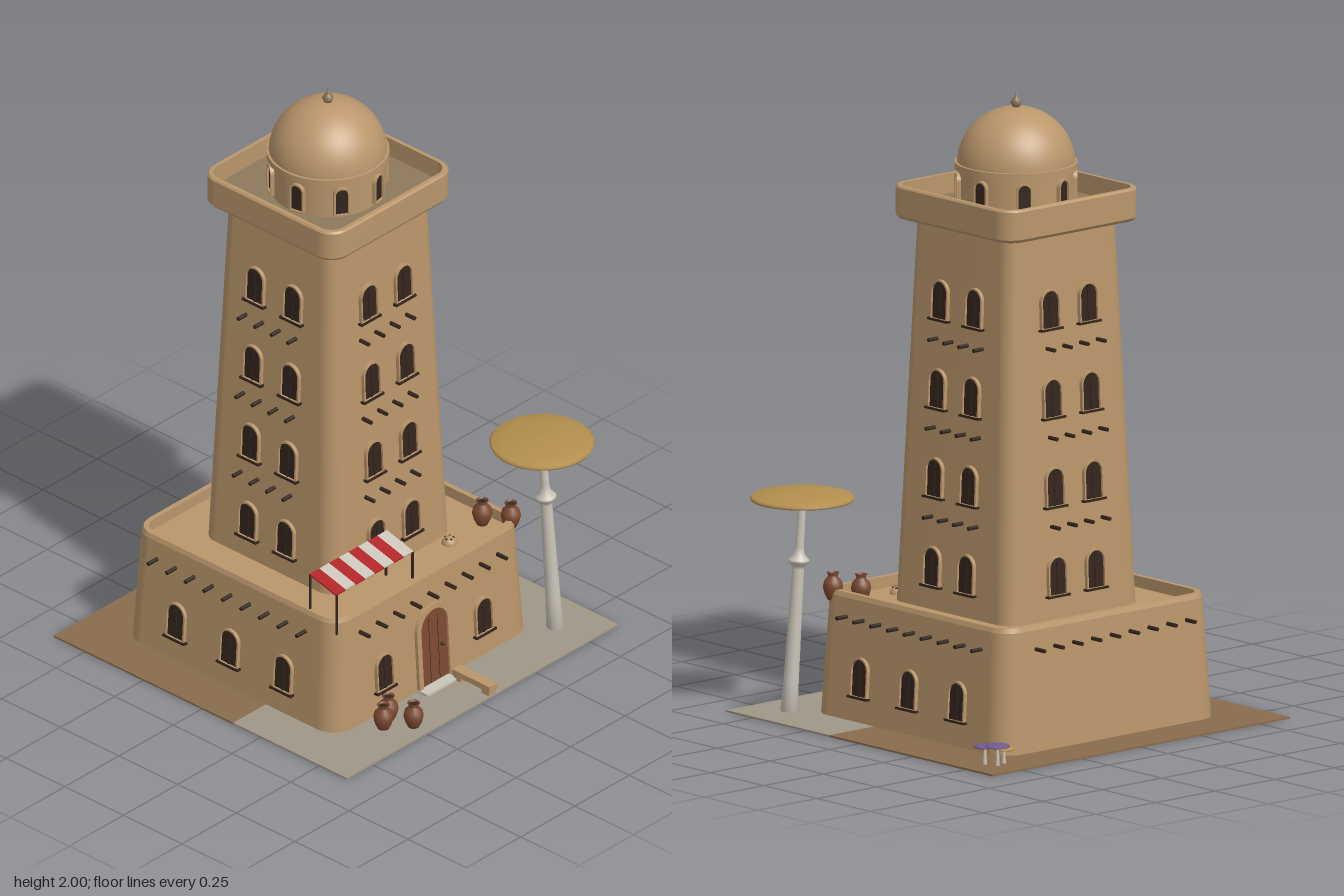
import * as THREE from 'three';

const mat = (name, color, side = THREE.FrontSide) => {
  const m = new THREE.MeshStandardMaterial({ color, side });
  m.name = name;
  return m;
};

export function createModel() {
  const sand = mat('sand plaster', 0xba966b), mud = mat('packed earth', 0x8a6c4d);
  const roofing = mat('roof earth', 0x8d785c), paving = mat('grey paving', 0x9f9786);
  const dark = mat('dark wood', 0x33251d), clay = mat('terracotta', 0x7c4a31);
  const white = mat('off white', 0xcbc5b8, THREE.DoubleSide), red = mat('awning red', 0xb02428);
  const purple = mat('purple', 0x73598f), ochre = mat('ochre', 0xb38e4d);

  const model = new THREE.Group();
  model.name = 'desertTower';
  const add = (parent, name, geo, material, x = 0, y = 0, z = 0) => {
    const m = new THREE.Mesh(geo, material);
    m.name = name;
    m.position.set(x, y, z);
    parent.add(m);
    return m;
  };
  const group = (parent, name, x = 0, y = 0, z = 0) => {
    const g = new THREE.Group();
    g.name = name;
    g.position.set(x, y, z);
    parent.add(g);
    return g;
  };
  const box = (w, h, d) => new THREE.BoxGeometry(w, h, d);
  const lathe = (pts, n = 32) => new THREE.LatheGeometry(pts.map(p => new THREE.Vector2(p[0], p[1])), n);

  // Rounded-square loft; each level is [half width, height, corner radius]
  function loft(levels) {
    const S = 8, n = 4 * (S + 1), pos = [], idx = [];
    const ring = ([h, y, r]) => {
      for (let k = 0; k < 4; k++) for (let s = 0; s <= S; s++) {
        const a = (k + s / S) * Math.PI / 2, mid = (k + 0.5) * Math.PI / 2;
        pos.push(Math.sign(Math.sin(mid)) * (h - r) + r * Math.sin(a), y,
          Math.sign(Math.cos(mid)) * (h - r) + r * Math.cos(a));
      }
    };
    for (let l = 0; l < levels.length - 1; l++) {
      const b = pos.length / 3;
      ring(levels[l]);
      ring(levels[l + 1]);
      for (let i = 0; i < n; i++) {
        const j = (i + 1) % n;
        idx.push(b + i, b + j, b + n + j, b + i, b + n + j, b + n + i);
      }
    }
    const g = new THREE.BufferGeometry();
    g.setAttribute('position', new THREE.Float32BufferAttribute(pos, 3));
    g.setIndex(idx);
    g.computeVertexNormals();
    return g;
  }

  // Arched outline, used for windows and door
  function arch(w, h, y0 = 0, Type = THREE.Shape) {
    const s = new Type();
    s.moveTo(-w / 2, y0);
    s.lineTo(w / 2, y0);
    s.lineTo(w / 2, h - w / 2);
    s.absarc(0, h - w / 2, w / 2, 0, Math.PI, false);
    s.lineTo(-w / 2, y0);
    return s;
  }
  const extrude = (shape, depth) => new THREE.ExtrudeGeometry(shape, { depth, bevelEnabled: false, curveSegments: 10 });
  function opening(parent, name, w, h, border, material) {
    const g = group(parent, name);
    const outer = arch(w, h);
    outer.holes.push(arch(w - 2 * border, h - border, 0.004, THREE.Path));
    add(g, 'frame', extrude(outer, 0.016), sand, 0, 0, -0.004);
    add(g, 'panel', extrude(arch(w - 2 * border, h - border), 0.009), material, 0, 0, -0.004);
    return g;
  }

  // Ground
  add(model, 'earthGround', box(0.765, 0.006, 1.25), mud, -0.2475, 0.003, -0.005);
  add(model, 'pavedGround', box(0.485, 0.006, 1.25), paving, 0.3775, 0.003, -0.005);

  // Building body
  const tower = group(model, 'tower', -0.022, 0, 0.014);
  add(tower, 'base', loft([[0.456, 0, 0.08], [0.433, 0.39, 0.07], [0.427, 0.405, 0.065], [0.41, 0.405, 0.05],
    [0.41, 0.368, 0.05], [0, 0.368, 0]]), sand);
  add(tower, 'shaft', loft([[0.282, 0.365, 0.06], [0.233, 1.6, 0.05]]), sand);
  add(tower, 'crown', loft([[0.2, 1.595, 0.05], [0.278, 1.595, 0.06], [0.286, 1.605, 0.065], [0.286, 1.694, 0.065],
    [0.281, 1.7, 0.06], [0.268, 1.7, 0.05], [0.268, 1.635, 0.05]]), sand);
  add(tower, 'crownFloor', loft([[0.27, 1.636, 0.05], [0, 1.636, 0]]), roofing);

  // Domed lantern
  add(tower, 'drum', new THREE.CylinderGeometry(0.18, 0.18, 0.14, 48), sand, 0, 1.7, 0);
  add(tower, 'domeRing', lathe([[0.17, 1.757], [0.193, 1.757], [0.193, 1.757], [0.193, 1.778], [0.193, 1.778], [0.17, 1.78]], 48), sand);
  const dome = add(tower, 'dome', new THREE.SphereGeometry(0.186, 48, 20, 0, Math.PI * 2, 0, Math.PI / 2), sand, 0, 1.768, 0);
  dome.scale.y = 0.99;
  add(tower, 'finial', lathe([[0, 1.945], [0.012, 1.952], [0.018, 1.966], [0.012, 1.977], [0.005, 1.982], [0, 2]], 16), roofing);
  for (let i = 0; i < 8; i++) {
    const turn = group(tower, 'lanternWindow');
    turn.rotation.y = (i + 0.25) * Math.PI / 4;
    opening(turn, 'window', 0.052, 0.1, 0.006, dark).position.set(0, 1.645, 0.179);
  }

  // Wall details on the four sides
  const baseHalf = y => 0.456 - 0.059 * y, shaftHalf = y => 0.2965 - 0.0397 * y;
  const beamGeo = new THREE.CylinderGeometry(0.0065, 0.0065, 0.06, 10).rotateX(Math.PI / 2);
  for (let k = 0; k < 4; k++) {
    const side = group(tower, ['front', 'left', 'back', 'right'][k] + 'Wall');
    side.rotation.y = k * Math.PI / 2;
    const shift = k < 2 ? -1 : 1;
    const windowAt = (u, y, half, slope) => {
      const g = opening(side, 'window', 0.08, 0.128, 0.006, dark);
      g.position.set(u, y, half(y));
      g.rotation.x = -slope;
      add(g, 'sill', box(0.092, 0.007, 0.022), dark, 0, 0, 0.006);
      add(g, 'mullion', box(0.005, 0.118, 0.004), dark, 0, 0.06, 0.006);
    };
    for (let l = 0; l < 4; l++)
      for (const u of [-0.08, 0.08]) windowAt(u, 0.442 + l * 0.283, shaftHalf, 0.04);
    if (k !== 3)
      for (const u of k === 1 ? [-0.228, 0.228] : [-0.228, 0, 0.228]) windowAt(u, 0.085, baseHalf, 0.059);
    // Projecting beam ends
    for (let i = 0; i < 9; i++)
      add(side, 'beam', beamGeo, dark, (i - 4) * 0.079 + shift * 0.008, 0.33, baseHalf(0.33) + 0.012);
    for (const y of [0.663, 0.947, 1.23]) for (let i = 0; i < 4; i++)
      add(side, 'beam', beamGeo, dark, (i - 1.5) * 0.0705 + shift * 0.013, y, shaftHalf(y) + 0.008);
    // Door
    if (k === 1) {
      const door = opening(side, 'door', 0.16, 0.29, 0.019, clay);
      door.position.set(0, 0.002, 0.456);
      door.rotation.x = -0.059;
      add(door, 'knob', new THREE.SphereGeometry(0.007, 12, 8), dark, 0.036, 0.13, 0.008);
      for (const x of [-0.02, 0.02]) add(door, 'plankGap', box(0.002, 0.24, 0.002), dark, x, 0.124, 0.0045);
    }
  }
  add(model, 'doorStep', box(0.06, 0.014, 0.14), white, 0.448, 0.007, 0.025);

  // Roof vent with holes
  const vent = group(model, 'roofVent', 0.302, 0.368, -0.195);
  add(vent, 'ventDome', new THREE.SphereGeometry(0.024, 20, 10, 0, Math.PI * 2, 0, Math.PI / 2), sand);
  for (let i = 0; i < 5; i++) {
    const a = i * Math.PI * 0.4;
    add(vent, 'ventHole', new THREE.SphereGeometry(0.004, 8, 6), dark, 0.013 * Math.sin(a), 0.0195, 0.013 * Math.cos(a));
  }

  // Clay jars
  const jarGeo = lathe([[0, 0], [0.017, 0], [0.026, 0.018], [0.032, 0.042], [0.028, 0.06], [0.016, 0.073],
    [0.015, 0.08], [0.02, 0.087], [0.016, 0.088], [0.014, 0.08]], 20);
  const mouthGeo = new THREE.CircleGeometry(0.0155, 16).rotateX(-Math.PI / 2);
  for (const [x, y, z] of [[0.475, 0.004, 0.272], [0.562, 0.004, 0.25], [0.5, 0.004, 0.322],
    [0.299, 0.367, -0.35], [0.375, 0.367, -0.4]]) {
    const jar = group(model, 'jar', x, y, z);
    add(jar, 'jarBody', jarGeo, clay);
    add(jar, 'jarMouth', mouthGeo, dark, 0, 0.082, 0);
  }

  // Bench
  const bench = group(model, 'bench', 0.54, 0, -0.056);
  add(bench, 'seat', box(0.16, 0.02, 0.038), sand, 0, 0.032, 0);
  for (const s of [-1, 1]) add(bench, 'foot', box(0.03, 0.024, 0.034), sand, s * 0.06, 0.012, 0);

  // Striped awning
  const awning = group(model, 'awning', 0.343, 0.515, 0.254);
  awning.rotation.z = -0.26;
  for (let i = 0; i < 8; i++)
    add(awning, 'stripe', box(0.117, 0.005, 0.0445), i % 2 ? red : white, 0, 0, (i - 3.5) * 0.0445);
  for (const z of [0.08, 0.43]) {
    add(model, 'innerPost', new THREE.CylinderGeometry(0.004, 0.004, 0.165, 8), dark, 0.287, 0.447, z);
    add(model, 'outerPost', new THREE.CylinderGeometry(0.004, 0.004, 0.145, 8), dark, 0.4, 0.428, z);
  }

  // Tall mushroom with leaning stem
  const stem = add(model, 'tallStem', lathe([[0, 0], [0.028, 0], [0.024, 0.1], [0.019, 0.46], [0.021, 0.47], [0.034, 0.482],
    [0.033, 0.49], [0.018, 0.505], [0.014, 0.53], [0.012, 0.69]], 24), white, 0.482, 0.002, -0.488);
  stem.quaternion.setFromUnitVectors(new THREE.Vector3(0, 1, 0), new THREE.Vector3(-0.024, 0.69, 0.035).normalize());
  const capGeo = lathe([[0, 0.1], [0.9, 0], [0.98, 0], [1, 0.2], [0.96, 0.4], [0.75, 0.68], [0.4, 0.92], [0, 1]], 40);
  add(model, 'tallCap', capGeo, ochre, 0.458, 0.682, -0.454).scale.set(0.165, 0.03, 0.165);

  // Small mushrooms
  for (const [x, z, h, r, m] of [[-0.545, -0.532, 0.078, 0.039, purple], [-0.502, -0.547, 0.072, 0.035, purple],
    [-0.531, -0.493, 0.062, 0.036, ochre]]) {
    const shroom = group(model, 'smallMushroom', x, 0, z);
    add(shroom, 'cap', capGeo, m, 0, h - 0.011, 0).scale.set(r, 0.011, r);
    add(shroom, 'stem', new THREE.CylinderGeometry(0.004, 0.007, h - 0.008, 12), white, 0, (h - 0.008) / 2, 0);
  }
  return model;
}
